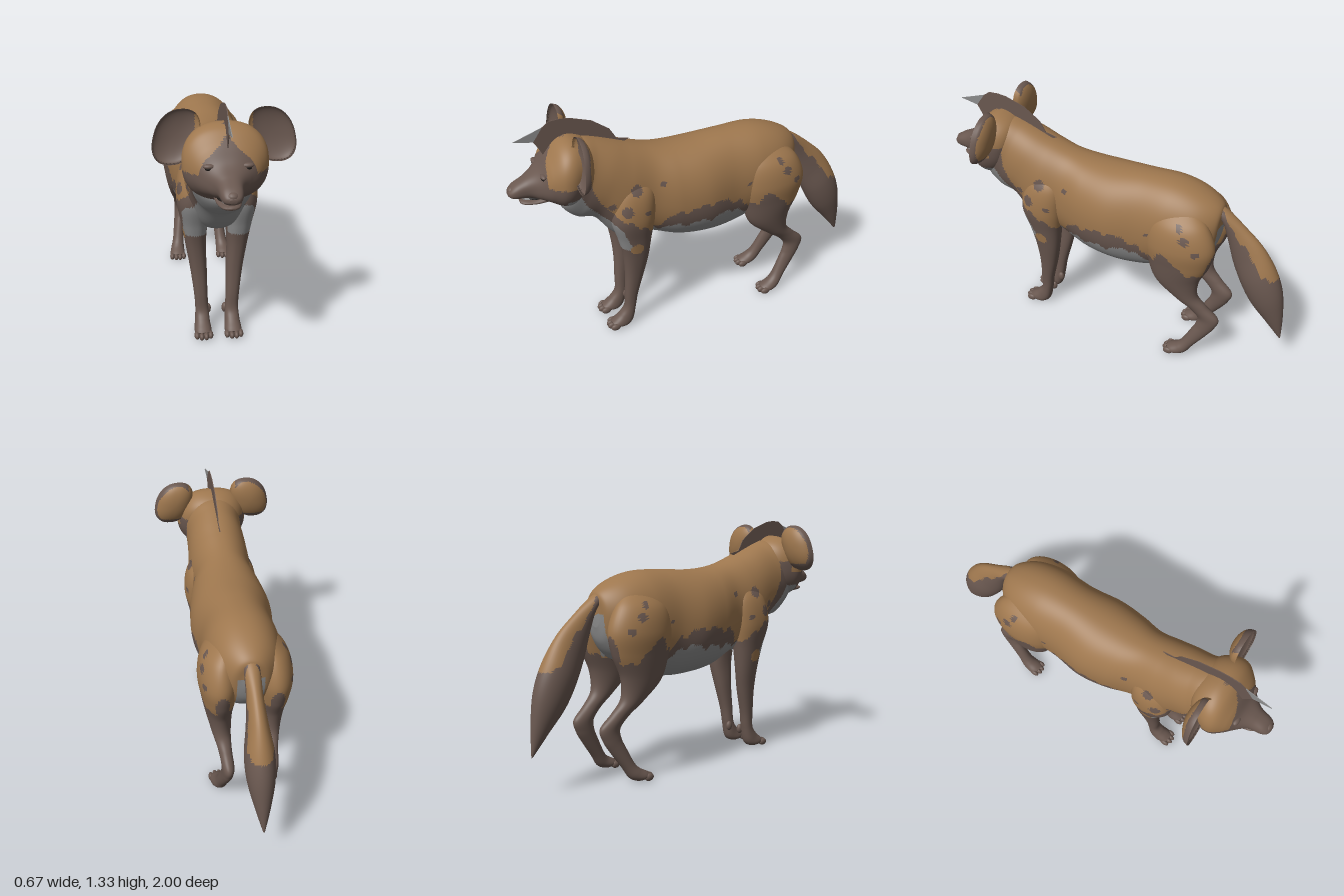
import * as THREE from 'three';

const flat = (name, color) => Object.assign(new THREE.MeshStandardMaterial({ color }), { name });
const TAN = 0, BROWN = 1, GREY = 2, BLACK = 3;
const materials = [flat('tan fur', 0x9e774e), flat('brown fur', 0x6a5850), flat('grey fur', 0x8c8c8c), flat('eye black', 0x1c1816)];

// Linear lookup in a list of [key, value], keys ascending
function lookup(k, table) {
  if (k <= table[0][0]) return table[0][1];
  for (let i = 1; i < table.length; i++) {
    const [k0, v0] = table[i - 1], [k1, v1] = table[i];
    if (k <= k1) return v0 + (v1 - v0) * (k - k0) / (k1 - k0);
  }
  return table[table.length - 1][1];
}

// Closed surface from point(u, angle); every triangle takes its colour from paint(centroid)
function surface(name, nu, nv, point, paint) {
  const pos = [], tris = [];
  for (let i = 0; i <= nu; i++)
    for (let j = 0; j < nv; j++) pos.push(point(i / nu, (j / nv) * Math.PI * 2));
  for (let i = 0; i < nu; i++)
    for (let j = 0; j < nv; j++) {
      const a = i * nv + j, b = i * nv + (j + 1) % nv;
      tris.push([a, b, b + nv], [a, b + nv, a + nv]);
    }
  let volume = 0;
  const cross = new THREE.Vector3();
  for (const [a, b, c] of tris) volume += pos[a].dot(cross.crossVectors(pos[b], pos[c]));
  const lists = materials.map(() => []);
  for (const [a, b, c] of tris) {
    const mid = pos[a].clone().add(pos[b]).add(pos[c]).divideScalar(3);
    lists[paint(mid)].push(...(volume > 0 ? [a, b, c] : [a, c, b]));
  }
  const geo = new THREE.BufferGeometry().setFromPoints(pos);
  geo.setIndex(lists.flat());
  let start = 0;
  lists.forEach((l, m) => { if (l.length) geo.addGroup(start, l.length, m); start += l.length; });
  geo.computeVertexNormals();
  const mesh = new THREE.Mesh(geo, materials);
  mesh.name = name;
  return mesh;
}

// Smooth loft; section = [z, y of one edge, z, y of the opposite edge, half width, centre x]
function loft(name, sections, paint, { nu = 80, nv = 36, side = 1, power = 2 } = {}) {
  const curve = f => new THREE.CatmullRomCurve3(sections.map(f), false, 'catmullrom', 0.5);
  const A = curve(s => new THREE.Vector3(0, s[1], s[0]));
  const B = curve(s => new THREE.Vector3(0, s[3], s[2]));
  const W = curve(s => new THREE.Vector3(s[4], s[5] || 0, 0));
  const bulge = v => Math.sign(v) * Math.abs(v) ** (2 / power);
  return surface(name, nu, nv, (u, t) => {
    const a = A.getPoint(u), b = B.getPoint(u), w = W.getPoint(u);
    const closed = u === 0 || u === 1 ? 0 : 1;
    const p = a.clone().add(b).multiplyScalar(0.5).addScaledVector(a.sub(b), 0.5 * closed * bulge(Math.cos(t)));
    p.x = side * (w.y + w.x * closed * bulge(Math.sin(t)));
    return p;
  }, paint);
}

// Coat pattern
const tanEdge = [[-0.64, 0.80], [-0.58, 0.68], [-0.5, 0.62], [-0.45, 0.71], [-0.36, 0.76], [-0.27, 0.66], [-0.2, 0.74], [-0.05, 0.78],
  [0.1, 0.76], [0.2, 0.73], [0.29, 0.64], [0.35, 0.72], [0.45, 0.76], [0.5, 0.8]];
const bellyEdge = [[-0.3, 0.58], [-0.18, 0.69], [0, 0.67], [0.3, 0.645]];
const bibEdge = [[0.57, 0.41], [0.72, 0.47], [0.8, 0.56], [0.9, 0.64], [1.0, 0.68]];
const spots = [[0.38, 0.935, 0.03], [0.23, 0.935, 0.016], [0.51, 0.86, 0.02], [0.44, 0.83, 0.03], [-0.26, 0.825, 0.013],
  [-0.44, 0.925, 0.018], [-0.475, 0.87, 0.026], [-0.54, 0.8, 0.02], [0.33, 0.8, 0.016]];
const paleSpots = [[0.39, 0.57, 0.035], [-0.56, 0.65, 0.02]];
const within = (list, p) => list.some(([z, y, r]) => Math.hypot(p.z - z, p.y - y) < r);
const wobble = p => 0.012 * Math.sin(p.z * 47) + 0.008 * Math.sin(p.z * 91 + 1);

function coat(p) {
  if (within(spots, p) && Math.abs(p.x) > 0.08) return BROWN;
  if (within(paleSpots, p) && Math.abs(p.x) > 0.12) return TAN;
  const bib = lookup(p.y, bibEdge);
  if (p.y > 0.57 && p.z > bib) return GREY;
  return p.y > lookup(p.z, tanEdge) + wobble(p) && p.z < bib - 0.07 ? TAN : BROWN;
}
function torsoCoat(p) {
  if (p.z < -0.5 && p.y < 0.88 && Math.abs(p.x) < 0.07) return GREY;
  if (p.z > -0.35 && p.z < 0.42 && p.y < lookup(p.z, bellyEdge) + wobble(p)) return GREY;
  return coat(p);
}
function headCoat(p) {
  const mask = lookup(p.y, [[1.03, 0.135], [1.1, 0.11], [1.15, 0.06], [1.21, 0]]);
  if (p.z < 0.74 && p.y < 0.96) return GREY;
  if (p.z < 0.67 && p.y < 1.1) return BROWN;
  return p.y > 1.04 && p.z < 0.86 && Math.abs(p.x) > mask + wobble(p) * 0.5 ? TAN : BROWN;
}
const tailCoat = p => p.y > 0.93 + 1.21 * (p.z + 0.635) + wobble(p) && p.y > 0.62 ? TAN : BROWN;
const only = m => () => m;

// Ellipsoid helper
function ball(name, material, x, y, z, sx, sy, sz) {
  const mesh = new THREE.Mesh(new THREE.SphereGeometry(1, 16, 12), materials[material]);
  mesh.position.set(x, y, z);
  mesh.scale.set(sx, sy, sz);
  mesh.name = name;
  return mesh;
}

export function createModel() {
  const dog = new THREE.Group();
  dog.name = 'wildDog';

  // Trunk and neck
  dog.add(loft('torso', [
    [-0.61, 0.92, -0.61, 0.82, 0.03], [-0.60, 0.99, -0.58, 0.72, 0.10], [-0.5, 1.05, -0.5, 0.63, 0.17],
    [-0.36, 1.085, -0.34, 0.56, 0.2], [-0.18, 1.085, -0.2, 0.51, 0.2], [0, 1.075, -0.05, 0.505, 0.222],
    [0.14, 1.08, 0.12, 0.525, 0.205], [0.25, 1.10, 0.3, 0.59, 0.17], [0.36, 1.135, 0.46, 0.61, 0.175],
    [0.45, 1.17, 0.58, 0.75, 0.165], [0.53, 1.20, 0.68, 0.785, 0.16], [0.60, 1.22, 0.75, 0.87, 0.16],
    [0.64, 1.21, 0.73, 0.95, 0.1],
  ], torsoCoat, { nu: 170, nv: 110, power: 2.15 }));

  // Head, jaw and mouth
  const head = loft('head', [
    [0.56, 1.10, 0.58, 1.0, 0.05], [0.58, 1.2, 0.64, 0.92, 0.15], [0.66, 1.245, 0.70, 0.885, 0.195],
    [0.73, 1.232, 0.75, 0.89, 0.198], [0.79, 1.17, 0.80, 0.915, 0.16], [0.84, 1.10, 0.85, 0.935, 0.105],
    [0.90, 1.06, 0.89, 0.945, 0.064], [0.96, 1.03, 0.96, 0.953, 0.05], [0.99, 1.005, 0.985, 0.962, 0.036],
    [1.0, 0.99, 0.998, 0.972, 0.015],
  ], headCoat, { nu: 110, nv: 90, power: 2.35 });
  dog.add(head);
  dog.add(loft('jaw', [
    [0.77, 0.97, 0.79, 0.905, 0.07], [0.86, 0.94, 0.86, 0.905, 0.058], [0.92, 0.936, 0.92, 0.91, 0.042],
    [0.945, 0.932, 0.945, 0.918, 0.018],
  ], only(BROWN), { nu: 24, nv: 24 }));
  dog.add(ball('teeth', GREY, 0, 0.942, 0.88, 0.04, 0.009, 0.055));
  dog.add(ball('mouthLining', BLACK, 0, 0.945, 0.86, 0.056, 0.01, 0.05));
  dog.add(ball('nose', BROWN, 0, 0.997, 0.972, 0.03, 0.022, 0.026));

  // Crest of hair along the nape
  const crest = (name, points, material) => {
    const shape = new THREE.Shape(points.map(([z, y]) => new THREE.Vector2(z, y)));
    const geo = new THREE.ExtrudeGeometry(shape, { depth: 0.004, bevelEnabled: false });
    geo.translate(0, 0, -0.002).rotateY(-Math.PI / 2);
    const mesh = new THREE.Mesh(geo, materials[material]);
    mesh.name = name;
    dog.add(mesh);
  };
  crest('crest', [[0.79, 1.305], [0.755, 1.33], [0.7, 1.333], [0.65, 1.327], [0.54, 1.29], [0.45, 1.225], [0.415, 1.165],
    [0.35, 1.15], [0.42, 1.12], [0.6, 1.15], [0.7, 1.2], [0.8, 1.16], [0.82, 1.2], [0.84, 1.235]], BROWN);
  crest('crestTip', [[0.94, 1.255], [0.79, 1.305], [0.84, 1.235]], GREY);

  // Tail
  dog.add(loft('tail', [
    [-0.55, 1.0, -0.55, 0.94, 0.035], [-0.63, 0.965, -0.61, 0.90, 0.04], [-0.74, 0.88, -0.65, 0.78, 0.042],
    [-0.84, 0.785, -0.69, 0.65, 0.055], [-0.92, 0.66, -0.745, 0.53, 0.075], [-0.97, 0.53, -0.81, 0.42, 0.07],
    [-0.992, 0.38, -0.9, 0.315, 0.042], [-1.0, 0.205, -0.995, 0.2, 0.003],
  ], tailCoat, { nu: 90, nv: 44 }));

  for (const side of [1, -1]) {
    const label = side > 0 ? 'left' : 'right';

    // Eyes set on the face
    const ray = new THREE.Raycaster(new THREE.Vector3(side * 0.088, 1.078, 2), new THREE.Vector3(0, 0, -1));
    const eyeZ = ray.intersectObject(head)[0]?.point.z ?? 0.82;
    dog.add(ball(label + 'Eye', BLACK, side * 0.088, 1.076, eyeZ - 0.006, 0.018, 0.011, 0.012));
    dog.add(ball(label + 'Eyelid', BROWN, side * 0.088, 1.086, eyeZ - 0.008, 0.028, 0.012, 0.016));

    // Round cupped ear: inner face, rim, then back face
    dog.add(surface(label + 'Ear', 40, 48, (u, t) => {
      const r = u < 0.5 ? u * 2 : 2 - u * 2;
      const round = v => Math.sign(v) * Math.abs(v) ** 0.87;
      const dx = 0.107 * r * round(Math.cos(t)), dy = 0.13 * r * round(Math.sin(t));
      const cup = Math.sqrt(Math.max(0, 1 - r * r));
      const z = 0.685 - (u < 0.5 ? 0.04 : 0.068) * cup - 0.1 * dy;
      return new THREE.Vector3(side * (0.222 + dx - 0.22 * dy), 1.18 + dy, z);
    }, p => {
      const dy = p.y - 1.18, dx = Math.abs(p.x) - 0.222 + 0.22 * dy;
      const r = Math.hypot(dx / 0.107, dy / 0.13), cup = Math.sqrt(Math.max(0, 1 - r * r));
      const back = p.z + 0.1 * dy < 0.685 - 0.054 * cup;
      return (back && r < 0.9 && dy > -0.09) || Math.abs(p.x) < 0.135 ? TAN : BROWN;
    }));

    // Legs
    dog.add(loft(label + 'FrontLeg', [
      [0.42, 1.02, 0.32, 1.0, 0.02, 0.10], [0.48, 0.9, 0.27, 0.9, 0.07, 0.12], [0.51, 0.76, 0.27, 0.76, 0.085, 0.122],
      [0.475, 0.62, 0.29, 0.62, 0.068, 0.115], [0.45, 0.5, 0.31, 0.48, 0.053, 0.108], [0.44, 0.36, 0.335, 0.36, 0.044, 0.095],
      [0.445, 0.22, 0.37, 0.22, 0.036, 0.085], [0.45, 0.13, 0.385, 0.13, 0.035, 0.08], [0.48, 0.085, 0.405, 0.04, 0.04, 0.08],
      [0.515, 0.055, 0.44, 0.008, 0.045, 0.08], [0.535, 0.04, 0.49, 0.008, 0.04, 0.08],
    ], coat, { side, nu: 110, nv: 48, power: 2.3 }));
    dog.add(loft(label + 'HindLeg', [
      [-0.30, 1.0, -0.48, 1.0, 0.03, 0.1], [-0.25, 0.9, -0.57, 0.92, 0.085, 0.13], [-0.235, 0.78, -0.62, 0.8, 0.103, 0.14],
      [-0.255, 0.66, -0.60, 0.68, 0.09, 0.14], [-0.30, 0.53, -0.55, 0.56, 0.07, 0.138], [-0.41, 0.43, -0.545, 0.45, 0.05, 0.132],
      [-0.50, 0.36, -0.60, 0.38, 0.036, 0.124], [-0.55, 0.30, -0.67, 0.31, 0.033, 0.118], [-0.545, 0.245, -0.655, 0.245, 0.032, 0.12],
      [-0.525, 0.2, -0.615, 0.18, 0.032, 0.125], [-0.48, 0.11, -0.55, 0.09, 0.034, 0.135], [-0.45, 0.075, -0.51, 0.03, 0.04, 0.143],
      [-0.41, 0.052, -0.47, 0.008, 0.045, 0.146], [-0.39, 0.04, -0.44, 0.008, 0.04, 0.146],
    ], p => (p.z < -0.5 && p.y < 0.85 && p.y > 0.55 && Math.abs(p.x) < 0.07 ? GREY : p.z > -0.3 && p.y < 0.7 ? BROWN : coat(p)),
    { side, nu: 120, nv: 48 }));

    // Toes and dewclaw
    for (const [foot, x, z] of [['Front', 0.08, 0.53], ['Hind', 0.146, -0.4]])
      for (let i = 0; i < 4; i++) {
        const off = i - 1.5, middle = Math.abs(off) < 1 ? 0.012 : 0;
        dog.add(ball(label + foot + 'Toe', BROWN, side * (x + off * 0.024), 0.022, z + middle - 0.01, 0.014, 0.02, 0.028));
      }
    dog.add(ball(label + 'Dewclaw', BROWN, side * 0.045, 0.11, 0.395, 0.016, 0.028, 0.02));
  }
  return dog;
}
